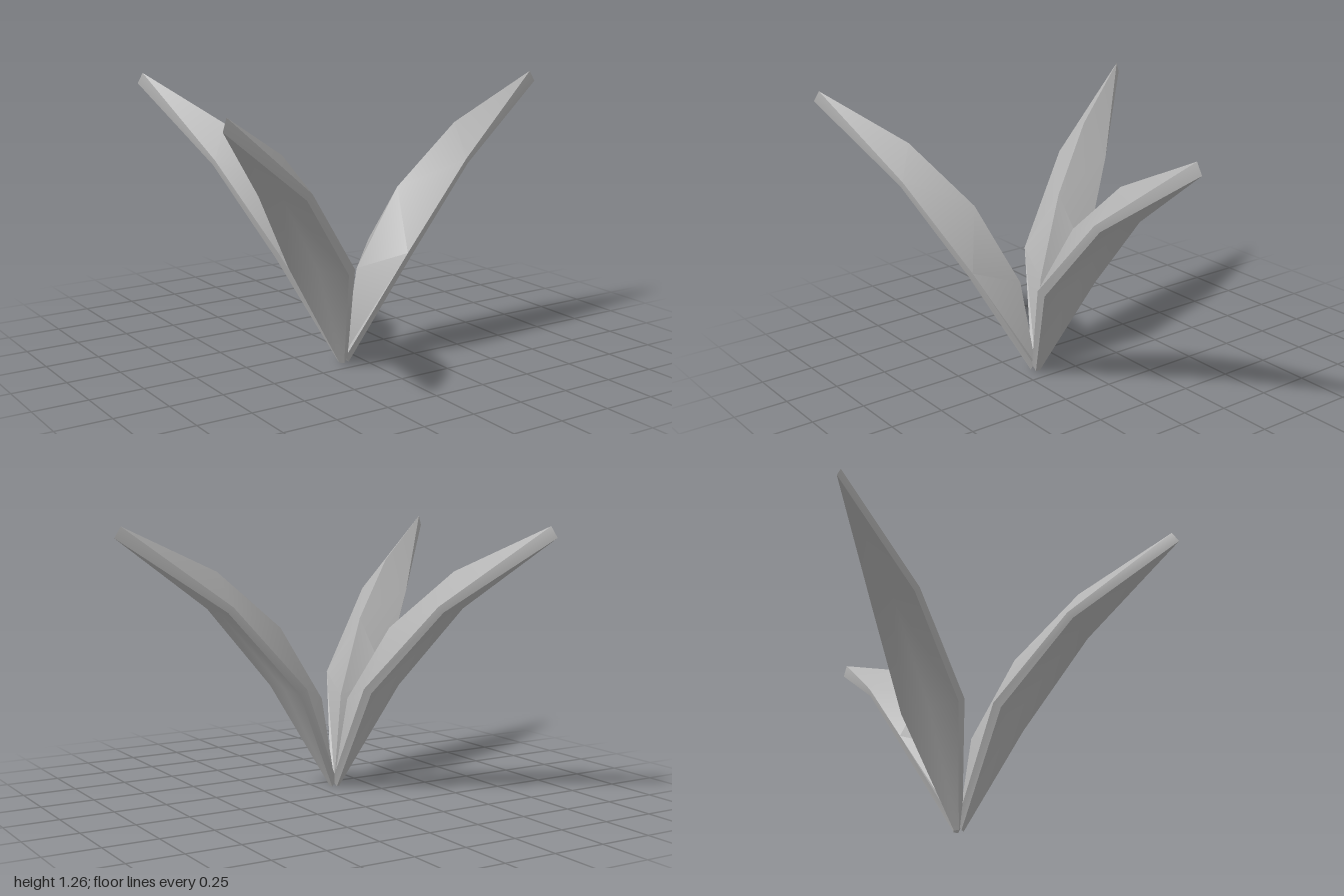
import * as THREE from 'three';
import { toCreasedNormals } from 'three/addons/utils/BufferGeometryUtils.js';

// One leaf growing along +x: a ridged top, a thin slanted rim and a smooth underside.
function leafGeometry() {
  const ridge = [[0, 0.03], [0.07, 0.43], [0.29, 0.78], [0.61, 1.05], [1.06, 1.26]];
  // Each entry: reach, height, half width
  const upper = [[0, 0.03, 0.02], [0.24, 0.51, 0.157], [0.59, 0.9, 0.122], [1.06, 1.26, 0]];
  const lower = [[0.02, 0, 0.012], [0.27, 0.49, 0.142], [0.61, 0.875, 0.108], [1.09, 1.21, 0]];
  const positions = [];

  for (const side of [1, -1]) {
    const point = ([x, y, z = 0]) => [x, y, z * side];
    const tri = (a, b, c) => {
      const corners = side > 0 ? [a, b, c] : [a, c, b];
      corners.forEach((p) => positions.push(...point(p)));
    };
    const quad = (a, b, c, d) => { tri(a, b, c); tri(a, c, d); };
    const mid = ([x, y]) => [x, y, 0];
    const [r0, r1, r2, r3, tip] = ridge;
    const [u0, u1, u2] = upper;

    // Sloping top half
    tri(r0, u0, u1);
    tri(r0, u1, r1);
    tri(r1, u1, r2);
    tri(r2, u1, u2);
    tri(r2, u2, r3);
    tri(r3, u2, tip);

    // Rim and underside
    for (let i = 0; i < 3; i++) {
      const a = lower[i], b = lower[i + 1];
      if (i < 2) {
        quad(upper[i], a, b, upper[i + 1]);
        quad(a, mid(a), mid(b), b);
      } else {
        quad(upper[i], a, b, upper[i + 1]);
        tri(a, mid(a), b);
      }
    }

    // Foot of the leaf
    quad(r0, mid(lower[0]), lower[0], u0);
  }

  const geometry = new THREE.BufferGeometry();
  geometry.setAttribute('position', new THREE.Float32BufferAttribute(positions, 3));
  return toCreasedNormals(geometry, 0.6);
}

export function createModel() {
  const plant = new THREE.Group();
  plant.name = 'plant';
  const leafGrey = new THREE.MeshStandardMaterial({ color: 0xb4b4b4 });
  leafGrey.name = 'leaf grey';
  const geometry = leafGeometry();

  // Three leaves fan out from a shared foot
  const leaves = { leftLeaf: 0, backLeaf: 120, frontLeaf: 213.4 };
  for (const [name, degrees] of Object.entries(leaves)) {
    const leaf = new THREE.Mesh(geometry, leafGrey);
    leaf.name = name;
    leaf.position.set(-0.09, 0, 0.17);
    leaf.rotation.y = THREE.MathUtils.degToRad(degrees);
    plant.add(leaf);
  }
  return plant;
}
